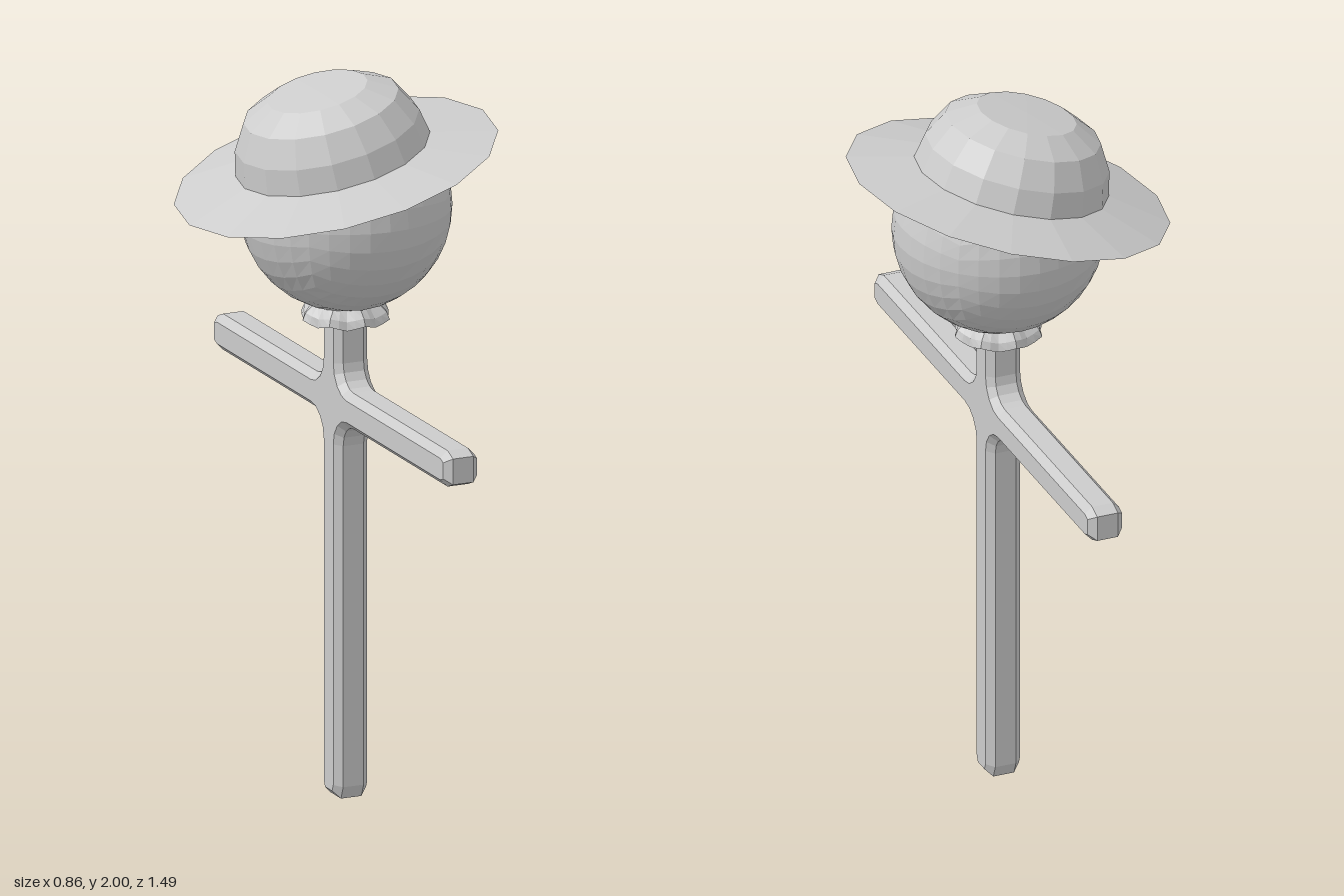
import * as THREE from 'three';

const mat = new THREE.MeshStandardMaterial({ color: 0xcccccc, flatShading: true });
const sheet = new THREE.MeshStandardMaterial({ color: 0xcccccc, flatShading: true, side: THREE.DoubleSide });

// Post and crossbar in one piece, filleted where they meet, edges chamfered
function crossGeometry() {
  const w = 0.05, fillet = 0.065, bevel = 0.02, steps = 4;
  const reach = [0.747, 0.35, 0.747, 1.1]; // bar end, post top, bar end, post foot
  const pts = [];
  reach.forEach((L, k) => {
    const arm = [[L - 0.035, -w], [L, -w * 0.72], [L, w * 0.72], [L - 0.035, w]];
    for (let i = 0; i <= steps; i++) {
      const a = -Math.PI / 2 - (i / steps) * Math.PI / 2;
      arm.push([w + fillet + fillet * Math.cos(a), w + fillet + fillet * Math.sin(a)]);
    }
    for (const [x, y] of arm) pts.push(new THREE.Vector2(x, y).rotateAround(new THREE.Vector2(), k * Math.PI / 2));
  });
  const geo = new THREE.ExtrudeGeometry(new THREE.Shape(pts), {
    depth: 2 * (w - bevel), bevelEnabled: true, bevelSegments: 1,
    bevelSize: bevel, bevelOffset: -bevel, bevelThickness: bevel,
  });
  return geo.translate(0, 0, bevel - w).rotateY(Math.PI / 2);
}

// Ball made of an even grid of quads
function ballGeometry(r, n) {
  const geo = new THREE.BoxGeometry(2, 2, 2, n, n, n);
  const p = geo.attributes.position, v = new THREE.Vector3();
  for (let i = 0; i < p.count; i++) {
    v.fromBufferAttribute(p, i);
    v.set(...v.toArray().map((c) => Math.tan(c * Math.PI / 4))).setLength(r);
    p.setXYZ(i, v.x, v.y, v.z);
  }
  geo.computeVertexNormals();
  return geo;
}

// Flared ruff with a scalloped lower edge
function collarGeometry() {
  const profile = [[0.118, -0.05], [0.112, -0.028], [0.092, -0.005], [0.085, 0.02]];
  const geo = new THREE.LatheGeometry(profile.map(([x, y]) => new THREE.Vector2(x, y)), 32);
  const p = geo.attributes.position;
  for (let i = 0; i < p.count; i++) {
    const x = p.getX(i), y = p.getY(i), z = p.getZ(i);
    const flare = THREE.MathUtils.clamp((0.02 - y) / 0.07, 0, 1);
    const wave = Math.cos(8 * Math.atan2(z, x)) * flare;
    const s = 1 + 0.07 * wave;
    p.setXYZ(i, x * s, y + 0.007 * wave, z * s);
  }
  geo.computeVertexNormals();
  return geo;
}

export function createModel() {
  const model = new THREE.Group();
  model.name = 'scarecrow';
  const add = (name, geo, material, x, y) => {
    const mesh = new THREE.Mesh(geo, material);
    mesh.name = name;
    mesh.position.set(x, y, 0);
    model.add(mesh);
    return mesh;
  };

  add('postAndCrossbar', crossGeometry(), mat, 0.025, 1.1);
  add('head', ballGeometry(0.286, 8), mat, 0.025, 1.64);
  add('collar', collarGeometry(), sheet, 0.025, 1.377);

  // Tilted hat: thin sloping brim and a rounded crown
  const hatProfile = [[0.445, 0], [0.267, 0.04], [0.253, 0.11], [0.213, 0.183], [0.137, 0.225], [0, 0.228]];
  const hat = add('hat', new THREE.LatheGeometry(hatProfile.map(([x, y]) => new THREE.Vector2(x, y)), 16), sheet, -0.003, 1.748);
  hat.rotation.z = THREE.MathUtils.degToRad(14);

  return model;
}
